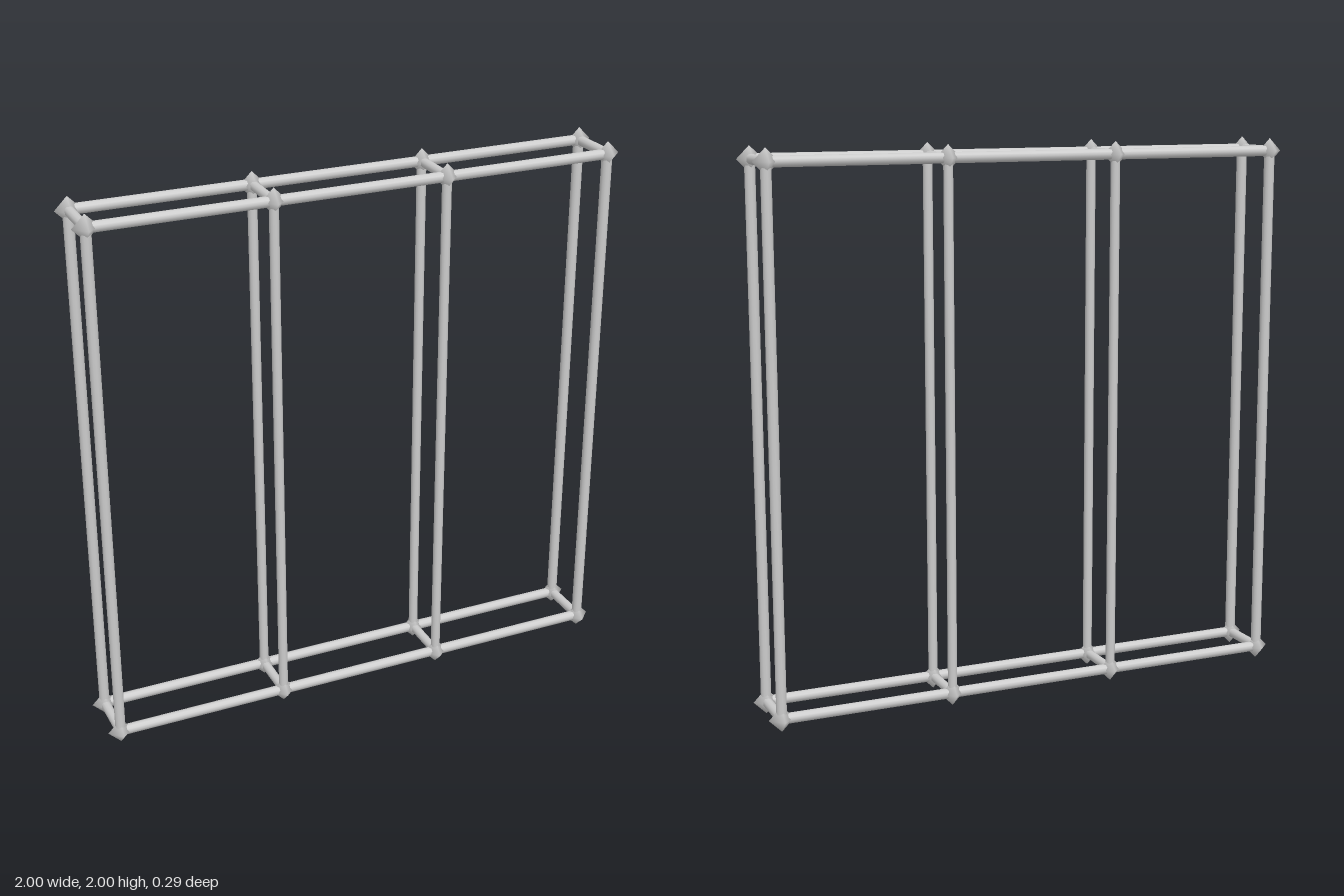
import * as THREE from 'three';

const X = [-0.954, -0.318, 0.318, 0.954]; // column positions
const Y = [0.046, 1.954];
const Z = [-0.097, 0.097];
const JOINT = 0.046;

export function createModel() {
  const group = new THREE.Group();
  group.name = 'rackFrame';
  const material = new THREE.MeshStandardMaterial({ color: 0xcccccc });

  // Round rod between two joint centres
  const rod = (name, a, b, radius) => {
    const start = new THREE.Vector3(...a);
    const dir = new THREE.Vector3(...b).sub(start);
    const mesh = new THREE.Mesh(new THREE.CylinderGeometry(radius, radius, dir.length(), 12), material);
    mesh.name = name;
    mesh.position.copy(start).addScaledVector(dir, 0.5);
    mesh.quaternion.setFromUnitVectors(new THREE.Vector3(0, 1, 0), dir.normalize());
    group.add(mesh);
  };

  // Uprights, slimmer in the middle
  X.forEach((x, i) => {
    const radius = i === 0 || i === X.length - 1 ? 0.019 : 0.017;
    for (const z of Z) rod('upright', [x, Y[0], z], [x, Y[1], z], radius);
  });

  // Long rails and short cross bars at the top and bottom
  for (const y of Y) {
    for (const z of Z) rod('longRail', [X[0], y, z], [X[3], y, z], 0.019);
    X.forEach((x, i) => {
      const radius = i === 0 || i === X.length - 1 ? 0.018 : 0.017;
      rod('crossBar', [x, y, Z[0]], [x, y, Z[1]], radius);
    });
  }

  // Diamond joints with softly shaded faces
  const jointGeometry = new THREE.SphereGeometry(JOINT, 4, 2);
  for (const x of X) for (const y of Y) for (const z of Z) {
    const joint = new THREE.Mesh(jointGeometry, material);
    joint.name = 'joint';
    joint.position.set(x, y, z);
    group.add(joint);
  }
  return group;
}
